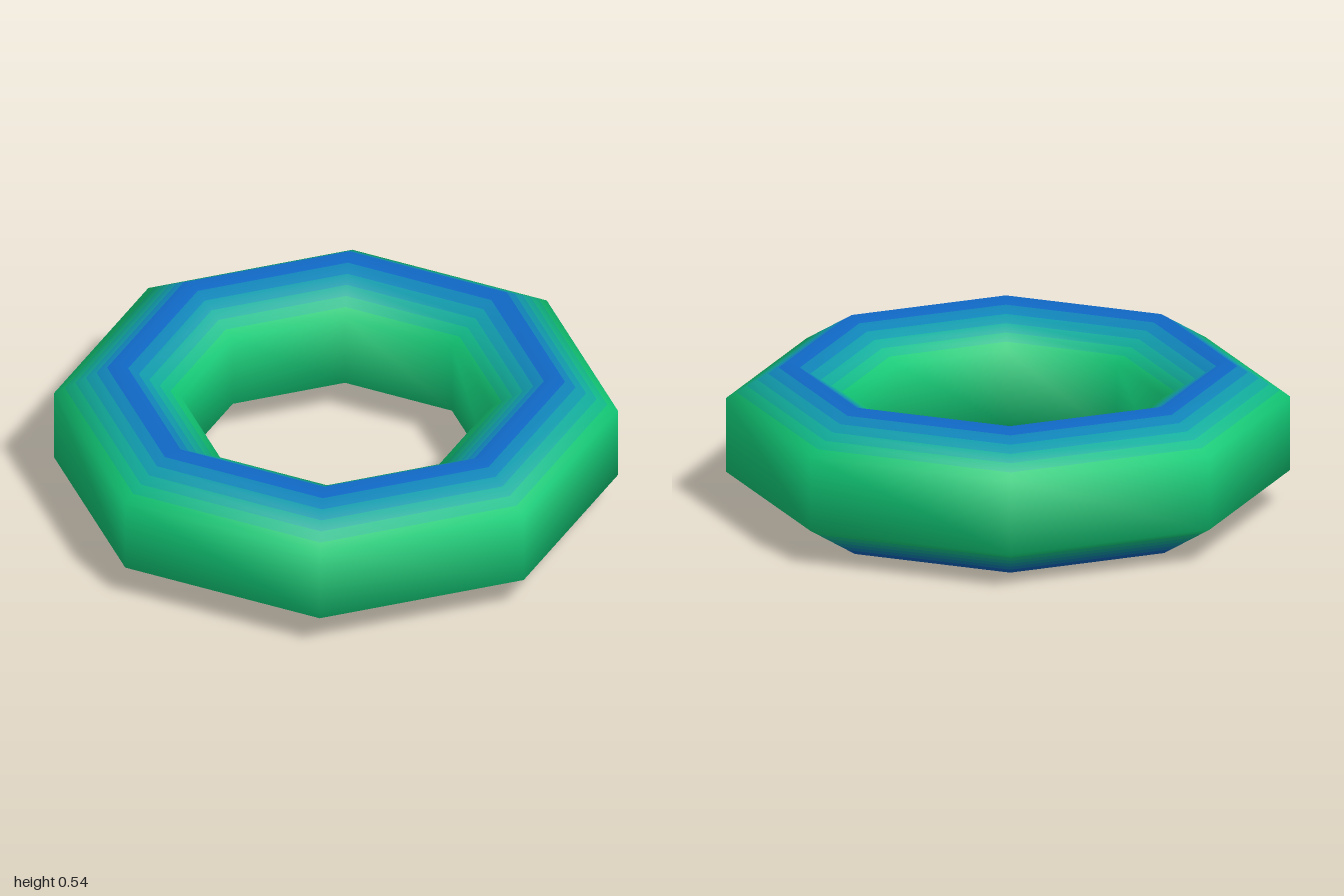
import * as THREE from 'three';
import { mergeGeometries } from 'three/addons/utils/BufferGeometryUtils.js';

const SIDES = 8;      // segments around the ring
const STEPS = 6;      // colour steps between a side corner and a ridge
const RING = 0.775;   // radius of the top and bottom ridges
const HALF_WIDTH = 0.225, HALF_HEIGHT = 0.272;

// The six corners of the ring's cross-section, with smooth outward normals
const corners = [-30, 30, 90, 150, 210, 270].map((degrees) => {
  const a = THREE.MathUtils.degToRad(degrees);
  return {
    point: new THREE.Vector2(
      RING + HALF_WIDTH * Math.cos(a) / Math.cos(Math.PI / 6),
      HALF_HEIGHT * (1 + Math.sin(a))),
    normal: new THREE.Vector2(Math.cos(a), Math.sin(a)),
    ridge: degrees === 90 || degrees === 270 ? 1 : 0,
  };
});

// Part of one cross-section edge swept around the ring, smoothly shaded
function band(from, to, t0, t1) {
  const points = [t0, t1].map((t) => from.point.clone().lerp(to.point, t));
  const normals = [t0, t1].map((t) => from.normal.clone().lerp(to.normal, t).normalize());
  const geometry = new THREE.LatheGeometry(points, SIDES);
  for (let i = 0; i <= SIDES; i++) {
    const phi = (i / SIDES) * Math.PI * 2;
    normals.forEach((n, j) => geometry.attributes.normal.setXYZ(
      i * 2 + j, n.x * Math.sin(phi), n.y, n.x * Math.cos(phi)));
  }
  return geometry;
}

export function createModel() {
  const group = new THREE.Group();
  group.name = 'octagonalRing';
  const green = new THREE.Color(0x12cc78);
  const blue = new THREE.Color(0x1068c4);

  // Sort the bands by tint: 0 is the green wall, STEPS - 1 the blue ridge
  const tints = Array.from({ length: STEPS }, () => []);
  corners.forEach((from, k) => {
    const to = corners[(k + 1) % corners.length];
    if (from.ridge === to.ridge) {
      tints[0].push(band(from, to, 0, 1));
      return;
    }
    for (let s = 0; s < STEPS; s++) {
      const tint = to.ridge ? s : STEPS - 1 - s;
      tints[tint].push(band(from, to, s / STEPS, (s + 1) / STEPS));
    }
  });

  // One mesh per tint
  tints.forEach((bands, i) => {
    const color = green.clone().lerp(blue, i / (STEPS - 1));
    const mesh = new THREE.Mesh(mergeGeometries(bands), new THREE.MeshStandardMaterial({ color }));
    mesh.name = i === 0 ? 'greenWalls' : i === STEPS - 1 ? 'blueRidges' : `slopeBand${i}`;
    group.add(mesh);
  });
  return group;
}
